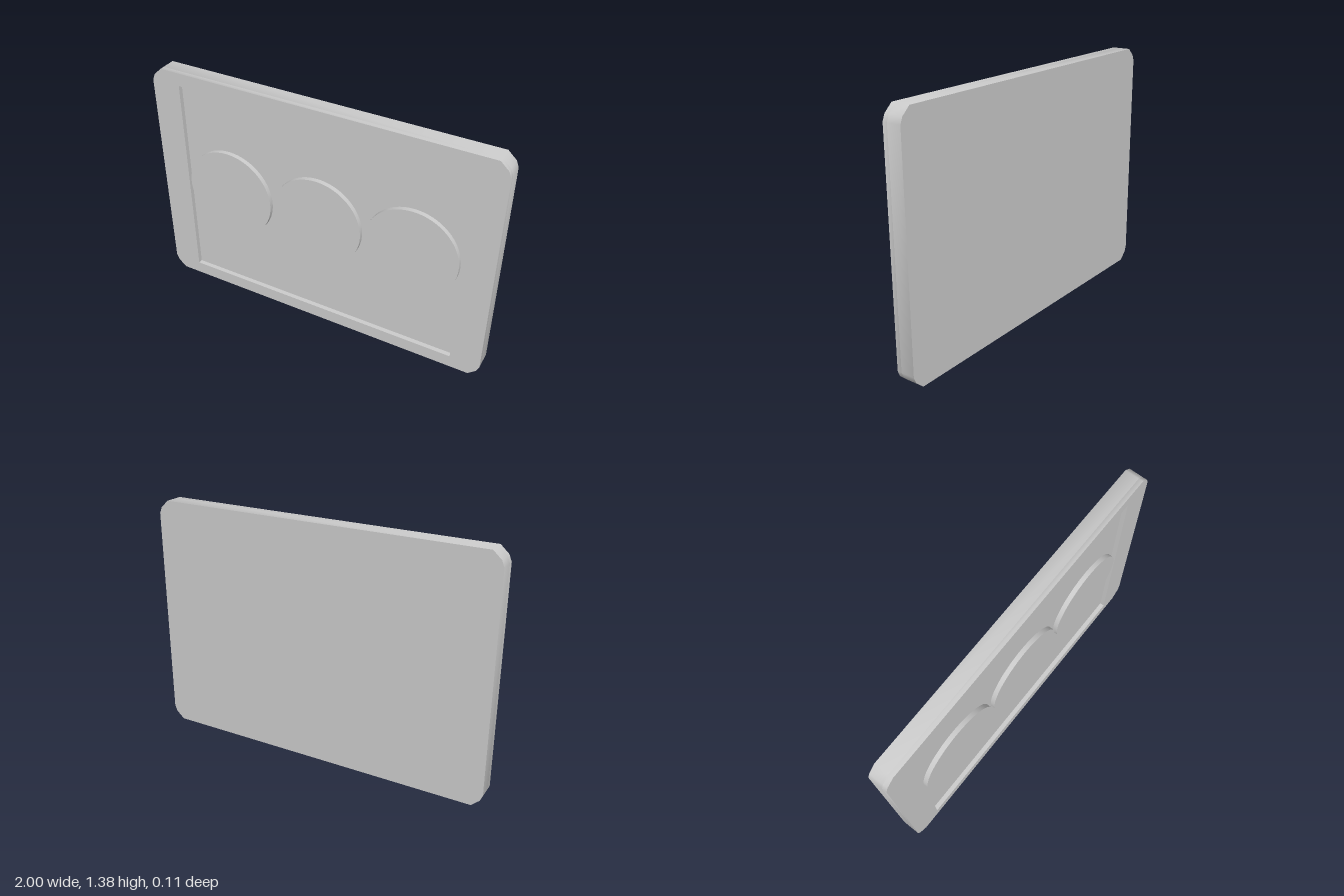
import * as THREE from 'three';
import { toCreasedNormals } from 'three/addons/utils/BufferGeometryUtils.js';

const HEIGHT = 1.375, BACK = -0.053, FLOOR = 0.027, FRONT = 0.053;

// Panel outline with clipped, softly shaded corners
function outline() {
  const corner = [[0.94, 0], [0.986, 0.042], [1, 0.077]];
  const right = [...corner, ...corner.map(([x, y]) => [x, HEIGHT - y]).reverse()];
  const left = right.map(([x, y]) => [-x, y]).reverse();
  return new THREE.Shape([...right, ...left].map(([x, y]) => new THREE.Vector2(x, y)));
}

// Rectangular opening in the front frame
function opening() {
  const x = 0.83, y0 = 0.075, y1 = 1.3;
  return new THREE.Path([[-x, y0], [-x, y1], [x, y1], [x, y0]].map(p => new THREE.Vector2(...p)));
}

export function createModel() {
  const group = new THREE.Group();
  const material = new THREE.MeshStandardMaterial({ color: 0xcccccc });

  const addLayer = (name, shape, z0, z1) => {
    const geometry = new THREE.ExtrudeGeometry(shape, { depth: z1 - z0, bevelEnabled: false, curveSegments: 48 });
    const mesh = new THREE.Mesh(toCreasedNormals(geometry, 0.9), material);
    mesh.name = name;
    mesh.position.z = z0;
    group.add(mesh);
    return mesh;
  };

  // Solid back, whose front face is the recess floor
  addLayer('backPanel', outline(), BACK, FLOOR);

  // Raised border around the recess
  const frame = outline();
  frame.holes.push(opening());
  addLayer('frontFrame', frame, FLOOR, FRONT);

  // Three raised discs in a row, flush with the border
  ['rightDisc', 'middleDisc', 'leftDisc'].forEach((name, i) => {
    const disc = new THREE.Shape().absarc(0, 0, 0.265, 0, Math.PI * 2);
    addLayer(name, disc, FLOOR, FRONT).position.set((i - 1) * 0.551, 0.69, FLOOR);
  });

  return group;
}
